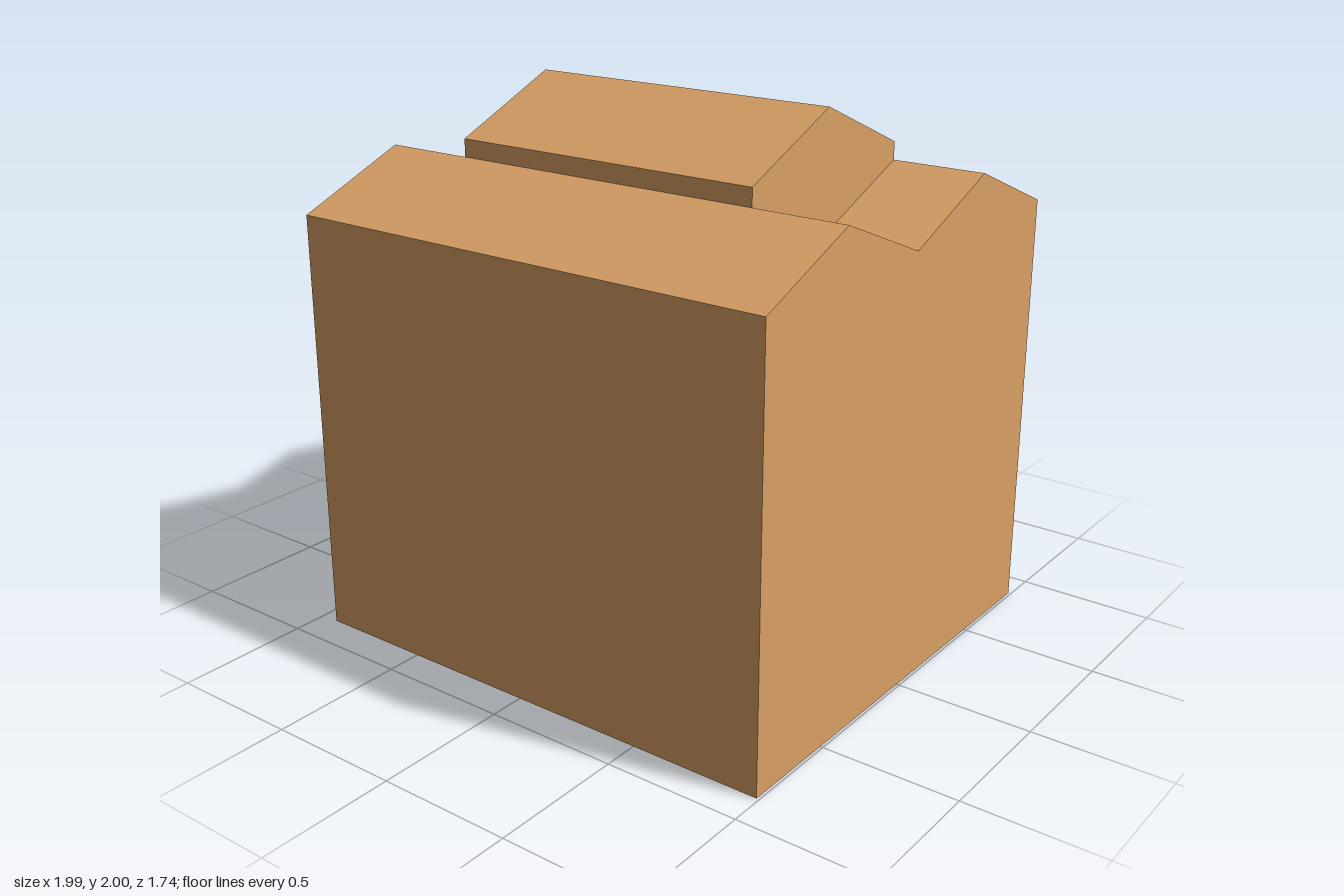
import * as THREE from 'three';

const TAN = 0xd9a066, PINK = 0xd38bb4, BLUE = 0x84a2e1, PALE = 0xd9dedb, CLOTH = 0xd4b3a6;
const RIGHT = 0.99, WALL = -0.93, DEPTH = 0.05; // end planes and recess depth

const mat = (color, side = THREE.FrontSide) =>
  new THREE.MeshStandardMaterial({ color, side, flatShading: true });
const points = (list) => list.map(([z, y]) => new THREE.Vector2(z, y));

// Profiles are drawn in (z, y); geometry is turned so that it extrudes towards -x
function place(geometry, color, x, name) {
  const mesh = new THREE.Mesh(geometry.rotateY(-Math.PI / 2), mat(color));
  mesh.position.x = x;
  mesh.name = name;
  return mesh;
}

function prism(outline, holes, fromX, toX, name) {
  const shape = new THREE.Shape(points(outline));
  shape.holes = holes.map((h) => new THREE.Path(points(h)));
  const geometry = new THREE.ExtrudeGeometry(shape, { depth: fromX - toX, bevelEnabled: false });
  return place(geometry, TAN, fromX, name);
}

// A solid block whose -x end has recessed, coloured openings
function block(group, outline, openings, fromX, toX, name) {
  const back = toX + DEPTH;
  group.add(prism(outline, [], fromX, back, name));
  group.add(prism(outline, openings.map((o) => o.outline), back, toX, name + 'Facade'));
  for (const o of openings) {
    const geometry = new THREE.ShapeGeometry(new THREE.Shape(points(o.outline)));
    group.add(place(geometry, o.color, back - 0.002, o.name));
  }
}

export function createModel() {
  const group = new THREE.Group();
  group.name = 'building';

  // Main hall with a double-gabled roof
  const hall = [[-0.87, 0], [0.87, 0], [0.87, 1.575], [0.435, 1.75], [0, 1.575], [-0.435, 1.75], [-0.87, 1.575]];

  // Windows under each gable
  const gable = (c) => [[c - 0.405, 1.395], [c + 0.405, 1.395], [c + 0.405, 1.565], [c, 1.727], [c - 0.405, 1.565]];

  // Half-round window in six segments
  const arch = [];
  for (let i = 0; i <= 6; i++) {
    const a = (i / 6) * Math.PI;
    arch.push([0.8 * Math.cos(a), 0.735 + 0.59 * Math.sin(a)]);
  }

  const entrance = [[-0.8, 0.02], [0.8, 0.02], [0.8, 0.69], [-0.8, 0.69]];

  block(group, hall, [
    { outline: gable(-0.435), color: PINK, name: 'backGableWindow' },
    { outline: gable(0.435), color: PINK, name: 'frontGableWindow' },
    { outline: arch, color: BLUE, name: 'archWindow' },
    { outline: entrance, color: PALE, name: 'entrance' },
  ], RIGHT, WALL, 'hall');

  // Raised middle roof sitting in the valley
  const lantern = [[0, 1.575], [0.435, 1.75], [0.435, 1.815], [0, 2], [-0.435, 1.815], [-0.435, 1.75]];
  const lanternWindow = [[0, 1.6], [0.41, 1.765], [0.41, 1.802], [0, 1.975], [-0.41, 1.802], [-0.41, 1.765]];
  block(group, lantern, [{ outline: lanternWindow, color: PINK, name: 'roofWindow' }], 0.64, -0.58, 'raisedRoof');

  // Sagging banner, leaning slightly outwards towards its lower edge
  const banner = new THREE.PlaneGeometry(1.6, 0.115, 8, 1).rotateY(-Math.PI / 2);
  const p = banner.attributes.position;
  for (let i = 0; i < p.count; i++) {
    const t = p.getZ(i) / 0.8;
    const y = p.getY(i) + 0.55 + 0.15 * t * t;
    p.setXYZ(i, -0.983 - 0.06 * (0.757 - y), y, p.getZ(i));
  }
  banner.computeVertexNormals();
  const cloth = new THREE.Mesh(banner, mat(CLOTH, THREE.DoubleSide));
  cloth.name = 'banner';
  group.add(cloth);

  return group;
}
